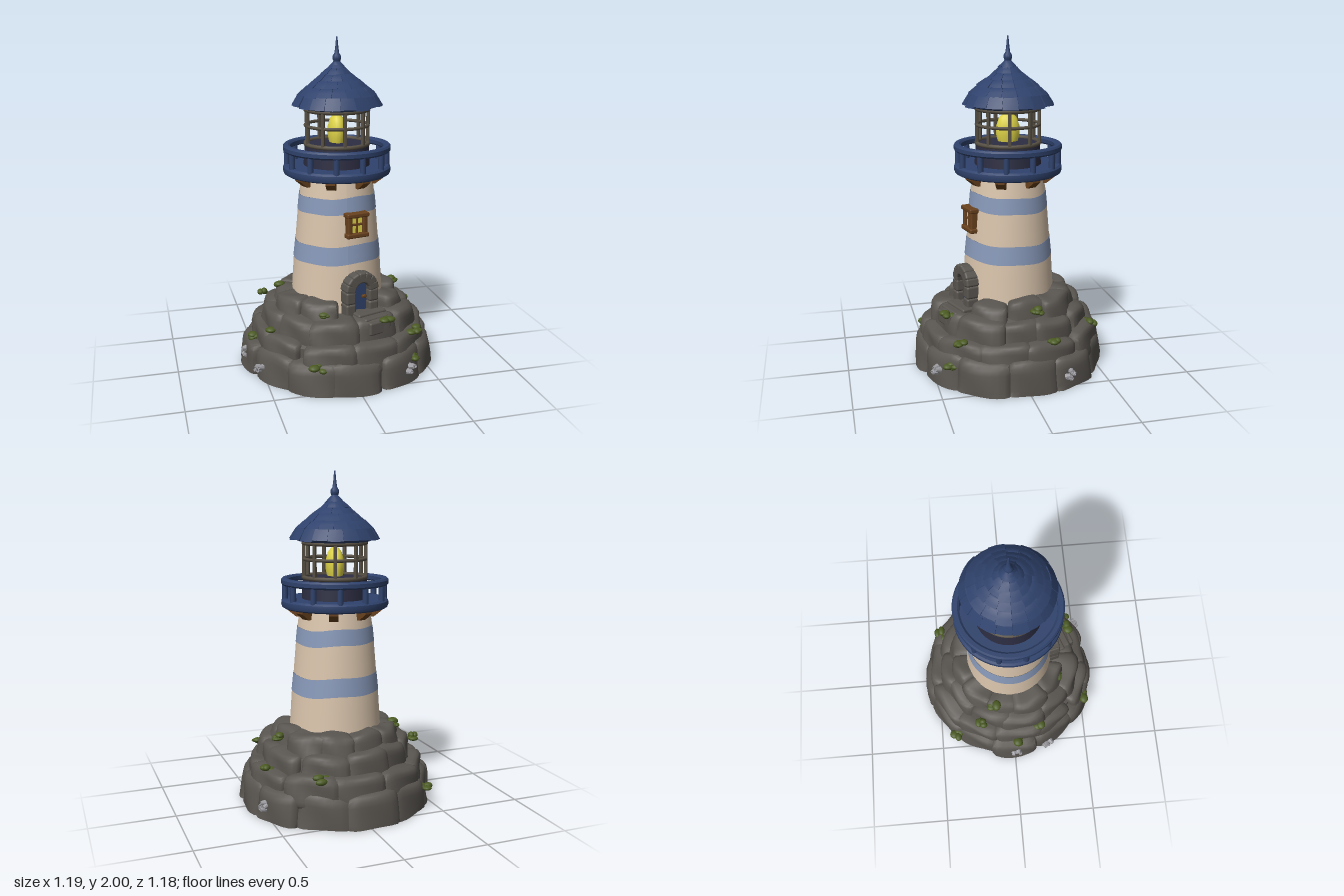
import * as THREE from 'three';
import { toCreasedNormals } from 'three/addons/utils/BufferGeometryUtils.js';
import { RoundedBoxGeometry } from 'three/addons/geometries/RoundedBoxGeometry.js';

const mat = (name, color) => {
  const m = new THREE.MeshStandardMaterial({ color });
  m.name = name;
  return m;
};

export function createModel() {
  const M = {
    rock: mat('rock', 0x595550), cream: mat('cream', 0xd9c4ac), band: mat('pale blue', 0x8798b8),
    blue: mat('blue', 0x2f426c), navy: mat('navy', 0x2c2d42), iron: mat('iron', 0x564f43),
    wood: mat('wood', 0x69421e), light: mat('yellow light', 0xe0d548),
    moss: mat('moss', 0x4b5b23), shell: mat('shell', 0x9a9a9f),
  };
  M.cream.side = M.band.side = THREE.DoubleSide;
  let seed = 7;
  const rnd = (a, b) => {
    seed = (seed * 16807) % 2147483647;
    return a + (b - a) * seed / 2147483647;
  };
  const model = new THREE.Group();
  model.name = 'lighthouse';
  const group = (name, parent = model) => {
    const g = new THREE.Group();
    g.name = name;
    parent.add(g);
    return g;
  };
  const add = (parent, name, geo, material, x = 0, y = 0, z = 0) => {
    const m = new THREE.Mesh(geo, material);
    m.name = name;
    m.position.set(x, y, z);
    parent.add(m);
    return m;
  };
  // Angle a runs from the front (+z) towards +x
  const around = (mesh, a, r) => {
    mesh.position.x = r * Math.sin(a);
    mesh.position.z = r * Math.cos(a);
    mesh.rotation.y = a;
    return mesh;
  };
  const lathe = (pts, n = 48) => toCreasedNormals(
    new THREE.LatheGeometry(pts.map(p => new THREE.Vector2(...p)), n), 0.6);
  const hoop = (parent, name, r, tube, y, material) => {
    const h = add(parent, name, new THREE.TorusGeometry(r, tube, 8, 48), material, 0, y, 0);
    h.rotation.x = Math.PI / 2;
  };
  const block = (w, h, d, round = 0.01) => new RoundedBoxGeometry(w, h, d, 2, round);

  // Cushion-shaped block bent around the axis; a lower power is rounder.
  // taper pulls in its outer top, shear moves its whole top inwards
  function wedge(a, width, r0, r1, y0, y1, { power = 16, seg = 2, taper = 0, shear = 0, lumps = 0 }) {
    const g = new THREE.BoxGeometry(2, 2, 2, seg, seg, seg);
    const p = g.attributes.position, v = new THREE.Vector3();
    for (let i = 0; i < p.count; i++) {
      v.fromBufferAttribute(p, i);
      const sum = v.toArray().reduce((s, c) => s + Math.abs(c) ** power, 0);
      v.multiplyScalar(sum ** (-1 / power));
      const b = a + v.x * width / 2, t = (v.y + 1) / 2, k = (v.z + 1) / 2;
      const r = r0 + k * (r1 - r0) - taper * t * k - shear * t
        + lumps * k * (Math.sin(b * 11 + t * 4) - 0.5);
      const y = y0 + t * (y1 - y0) + lumps * t * (Math.sin(b * 7 + k * 3) + 0.5 - k);
      p.setXYZ(i, r * Math.sin(b), Math.max(0, y), r * Math.cos(b));
    }
    return toCreasedNormals(g, 0.85);
  }

  // Rocky island: solid core with four stepped rings of boulders
  const island = group('island');
  add(island, 'rockCore', lathe([[0, 0.005], [0.53, 0.005], [0.53, 0.15], [0.49, 0.18], [0.49, 0.24],
    [0.44, 0.27], [0.43, 0.35], [0.36, 0.39], [0, 0.41]], 32), M.rock);
  const doorAngle = 0.24;
  [[12, 0.24, 0.607, -0.07, 0.2, 0.02], [11, 0.3, 0.562, 0.1, 0.288, 0.015],
    [11, 0.24, 0.495, 0.2, 0.392, 0.02], [11, 0.2, 0.425, 0.3, 0.478, 0.04]].forEach(
    ([n, r0, r1, y0, y1, taper], tier) => {
      const step = Math.PI * 2 / n;
      for (let i = 0; i < n; i++) {
        const a = (i + 0.3 * tier + rnd(-0.12, 0.12)) * step;
        const off = Math.atan2(Math.sin(a - doorAngle), Math.cos(a - doorAngle));
        if (tier === 3 && Math.abs(off) < 0.52) continue;
        add(island, 'boulder', wedge(a, step * rnd(1.08, 1.25), r0, r1 + rnd(-0.025, 0.006), y0,
          y1 + rnd(-0.015, 0.012), { power: 7, seg: 8, taper, lumps: 0.008 }), M.rock);
      }
    });
  // Shallow stone steps up to the door
  [[0.34, 0.415, 0.2], [0.385, 0.4, 0.17], [0.42, 0.385, 0.15]].forEach(([r, top, w]) =>
    around(add(island, 'step', block(w, 0.08, 0.08, 0.012), M.rock, 0, top - 0.04, 0), doorAngle + 0.1, r));

  // Moss patches, each a few flattened blobs
  const mossGeo = new THREE.SphereGeometry(1, 12, 8);
  [[-0.16, 0.42, 0.31], [-0.24, 0.17, 0.49], [0.38, 0.14, 0.42], [-0.45, 0.29, 0.16], [-0.53, 0.2, 0.01],
    [0.38, 0.45, -0.09], [0.47, 0.29, -0.16], [-0.44, 0.14, -0.39], [0.25, 0.29, -0.46],
    [-0.35, 0.465, -0.12], [-0.42, 0.39, -0.22], [0.19, 0.385, 0.41], [0.38, 0.29, 0.37]].forEach(([x, y, z]) => {
    const patch = group('mossPatch', island);
    patch.position.set(x, y, z);
    for (let i = 0; i < 4; i++) {
      const m = add(patch, 'mossBlob', mossGeo, M.moss, rnd(-0.03, 0.03), rnd(-0.02, 0.008), rnd(-0.025, 0.025));
      m.scale.set(rnd(0.02, 0.036), rnd(0.012, 0.02), rnd(0.02, 0.034));
    }
  });
  // Barnacle clusters
  const shellGeo = lathe([[0.019, 0], [0.011, 0.03], [0.007, 0.03], [0.005, 0.015], [0, 0.015]], 8);
  [[0.31, 0.1, 0.5], [-0.53, 0.08, 0.225], [0.53, 0.09, -0.235], [-0.575, 0.1, 0]].forEach(([x, y, z]) => {
    const cluster = group('barnacles', island);
    cluster.position.set(x, y, z);
    cluster.rotation.y = Math.atan2(x, z);
    for (let i = 0; i < 5; i++) {
      const b = add(cluster, 'barnacle', shellGeo, M.shell, rnd(-0.03, 0.03), rnd(-0.03, 0.03), 0);
      b.rotation.set(Math.PI / 2 + rnd(-0.5, 0.3), 0, rnd(-0.5, 0.5));
    }
  });

  // Tapered tower with gently wavy painted bands
  const tower = group('tower');
  [['towerBase', 0.38, 0.685, 0.285, 0.265, M.cream], ['lowerBand', 0.685, 0.795, 0.267, 0.255, M.band],
    ['towerMiddle', 0.795, 0.985, 0.253, 0.237, M.cream], ['upperBand', 0.985, 1.08, 0.239, 0.229, M.band],
    ['towerTop', 1.08, 1.2, 0.227, 0.21, M.cream]].forEach(([name, y0, y1, rb, rt, m]) => {
    const g = new THREE.CylinderGeometry(rt, rb, y1 - y0, 48, 3, true).translate(0, (y0 + y1) / 2, 0);
    const p = g.attributes.position;
    for (let i = 0; i < p.count; i++) {
      const a = Math.atan2(p.getX(i), p.getZ(i));
      p.setY(i, p.getY(i) + 0.007 * Math.sin(2 * a + 1) + 0.004 * Math.sin(5 * a));
    }
    g.computeVertexNormals();
    add(tower, name, g, m);
  });

  // Arched stone doorway with a recessed door
  const door = around(group('doorway'), doorAngle, 0.28);
  for (const s of [-1, 1]) for (const y of [0.425, 0.5])
    add(door, 'jambStone', block(0.066, 0.078, 0.095, 0.014), M.rock, s * 0.077, y, 0);
  for (let i = 0; i < 7; i++) {
    const t = Math.PI * (i + 0.5) / 7;
    const s = add(door, 'archStone', block(0.066, 0.05, 0.095, 0.012), M.rock,
      0.077 * Math.cos(t), 0.54 + 0.077 * Math.sin(t), 0);
    s.rotation.z = t;
  }
  const leaf = new THREE.Shape();
  leaf.moveTo(-0.06, 0.4).lineTo(0.06, 0.4).lineTo(0.06, 0.54);
  leaf.absarc(0, 0.54, 0.06, 0, Math.PI);
  add(door, 'doorLeaf', new THREE.ExtrudeGeometry(leaf, { depth: 0.03, bevelEnabled: false }), M.blue, 0, 0, -0.025);
  add(door, 'doorHandle', block(0.025, 0.018, 0.02, 0.005), M.wood, 0.026, 0.49, 0.012);

  // Framed window
  const win = around(group('window'), 0.22, 0.24);
  add(win, 'pane', block(0.1, 0.12, 0.03, 0.004), M.light, 0, 0.925, 0);
  for (const y of [0.866, 0.988]) add(win, 'sill', block(0.145, 0.028, 0.07, 0.008), M.wood, 0, y, 0.005);
  for (const s of [-1, 1]) add(win, 'sidePost', block(0.03, 0.12, 0.055), M.wood, s * 0.05, 0.927, 0.005);
  add(win, 'mullion', block(0.014, 0.12, 0.04, 0.004), M.wood, 0, 0.927, 0.002);
  add(win, 'crossbar', block(0.09, 0.014, 0.04, 0.004), M.wood, 0, 0.93, 0.002);

  // Gallery: brackets, deck, balusters and rail
  const gallery = group('gallery');
  const bracket = new THREE.Shape();
  bracket.moveTo(0.18, 1.2).lineTo(0.18, 1.135).lineTo(0.235, 1.135).lineTo(0.285, 1.175).lineTo(0.285, 1.2);
  const bracketGeo = new THREE.ExtrudeGeometry(bracket, { depth: 0.055, bevelEnabled: false })
    .translate(0, 0, -0.0275).rotateY(-Math.PI / 2);
  for (let i = 0; i < 8; i++)
    add(gallery, 'bracket', bracketGeo, M.wood).rotation.y = (i + 0.5) * Math.PI / 4;
  add(gallery, 'deck', lathe([[0, 1.192], [0.305, 1.19], [0.318, 1.198], [0.324, 1.215], [0.322, 1.235],
    [0.31, 1.246], [0, 1.246]]), M.blue);
  for (let i = 0; i < 12; i++)
    around(add(gallery, 'baluster', new THREE.CylinderGeometry(0.018, 0.018, 0.11, 10), M.blue, 0, 1.29, 0),
      (i + 0.5) * Math.PI / 6, 0.3);
  add(gallery, 'rail', lathe([[0.28, 1.338], [0.292, 1.328], [0.314, 1.328], [0.323, 1.338], [0.323, 1.36],
    [0.314, 1.37], [0.292, 1.37], [0.28, 1.36], [0.28, 1.338]]), M.blue);

  // Lantern room with open iron cage and lamp
  const lantern = group('lantern');
  add(lantern, 'lanternWall', new THREE.CylinderGeometry(0.192, 0.2, 0.13, 32), M.navy, 0, 1.305, 0);
  for (let i = 0; i < 9; i++)
    around(add(lantern, 'cagePost', block(0.02, 0.22, 0.02, 0.004), M.iron, 0, 1.475, 0), i * Math.PI * 2 / 9, 0.187);
  hoop(lantern, 'lowerHoop', 0.187, 0.013, 1.372, M.iron);
  hoop(lantern, 'middleHoop', 0.187, 0.01, 1.482, M.iron);
  hoop(lantern, 'upperHoop', 0.187, 0.013, 1.577, M.iron);
  add(lantern, 'lamp', lathe([[0, 1.37], [0.045, 1.38], [0.053, 1.42], [0.053, 1.47], [0.04, 1.52],
    [0.015, 1.555], [0, 1.57]], 16), M.light).scale.z = 1.35;

  // Shingled conical roof and finial
  const roof = group('roof');
  const rows = [[0.272, 1.6], [0.238, 1.662], [0.187, 1.707], [0.14, 1.745], [0.096, 1.78], [0.061, 1.812], [0.032, 1.84]];
  add(roof, 'roofCore', lathe([[0, 1.585], [0.205, 1.585], [0.25, 1.6],
    ...rows.slice(1).map(([r, y]) => [r - 0.014, y]), [0, 1.845]], 32), M.blue);
  for (let k = 0; k < 6; k++) {
    const [r, y] = rows[k], [rn, yn] = rows[k + 1];
    const n = 18 - k * 2, step = Math.PI * 2 / n;
    for (let i = 0; i < n; i++)
      add(roof, 'shingle', wedge((i + k * 0.5) * step, step * 1.04, r - 0.024, r + rnd(-0.004, 0.004),
        y + rnd(-0.008, 0.006), yn + 0.006, { shear: r - rn + 0.008 }), M.blue);
  }
  add(roof, 'finial', lathe([[0, 1.81], [0.052, 1.82], [0.036, 1.838], [0.02, 1.855], [0.026, 1.872],
    [0.024, 1.887], [0.014, 1.902], [0.009, 1.94], [0.004, 1.995], [0, 2]], 16), M.blue);
  return model;
}
